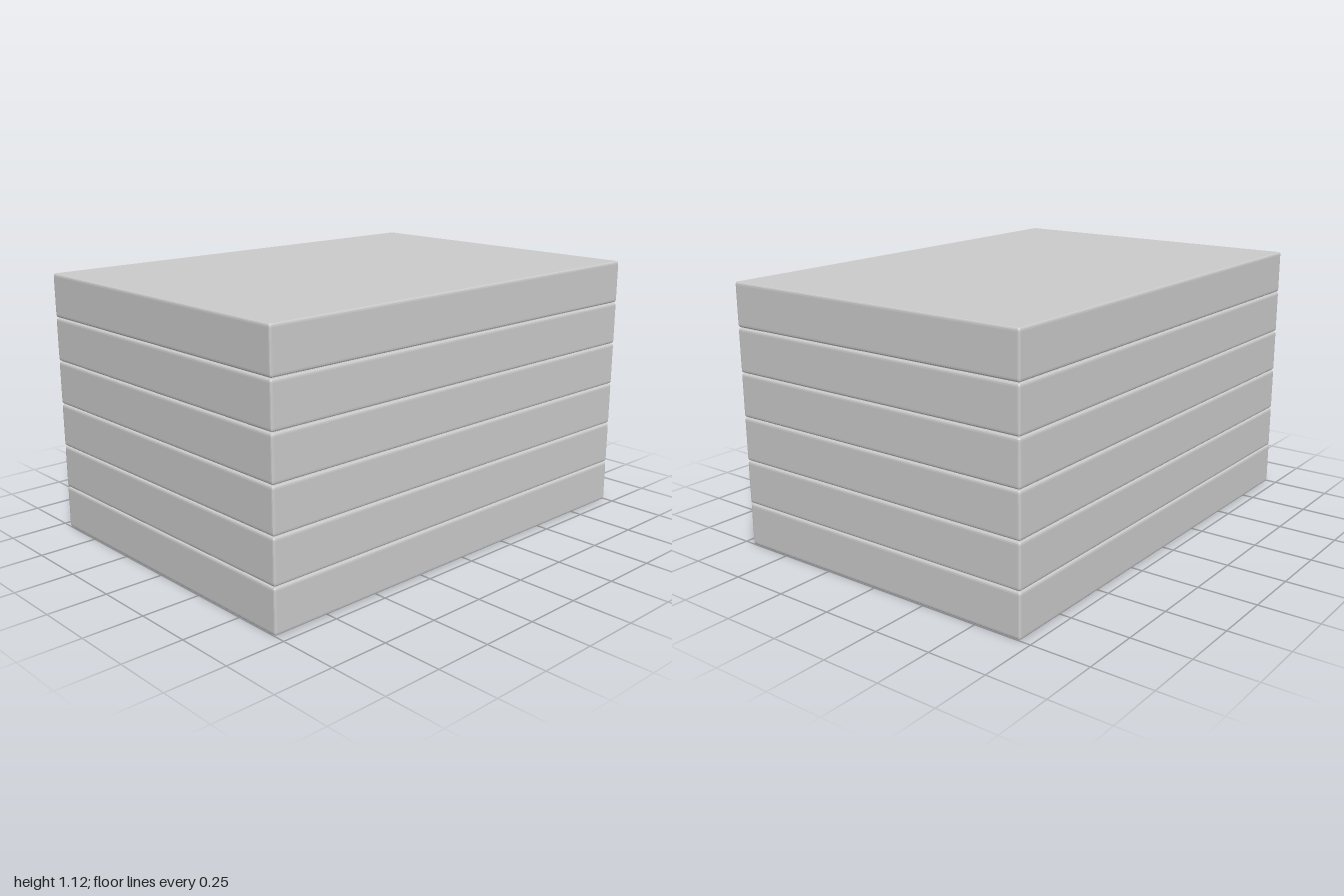
import * as THREE from 'three';

const WIDTH = 2, DEPTH = 1.41, SLAB = 0.183, PITCH = 0.1873, COUNT = 6;
const INSET = 0.006, LIP = 0.012; // horizontal and vertical size of the softened rim

// Rectangle with slightly rounded corners
function slabOutline(w, d, r) {
  const x = w / 2, y = d / 2;
  const s = new THREE.Shape();
  s.moveTo(-x + r, -y);
  s.lineTo(x - r, -y);
  s.quadraticCurveTo(x, -y, x, -y + r);
  s.lineTo(x, y - r);
  s.quadraticCurveTo(x, y, x - r, y);
  s.lineTo(-x + r, y);
  s.quadraticCurveTo(-x, y, -x, y - r);
  s.lineTo(-x, -y + r);
  s.quadraticCurveTo(-x, -y, -x + r, -y);
  return s;
}

export function createModel() {
  const group = new THREE.Group();
  group.name = 'slabStack';
  const material = new THREE.MeshStandardMaterial({ color: 0xcccccc });

  // One slab with a rounded rim, lying flat with its underside at y = 0
  const geometry = new THREE.ExtrudeGeometry(
    slabOutline(WIDTH - 2 * INSET, DEPTH - 2 * INSET, 0.004),
    {
      depth: SLAB - 2 * LIP, curveSegments: 3,
      bevelEnabled: true, bevelSize: INSET, bevelThickness: LIP, bevelSegments: 3,
    },
  );
  geometry.rotateX(-Math.PI / 2);
  geometry.translate(0, LIP, 0);

  // Stack of equal slabs with hairline gaps between them
  for (let i = 0; i < COUNT; i++) {
    const slab = new THREE.Mesh(geometry, material);
    slab.name = `slab${i + 1}`;
    slab.position.y = i * PITCH;
    group.add(slab);
  }
  return group;
}
